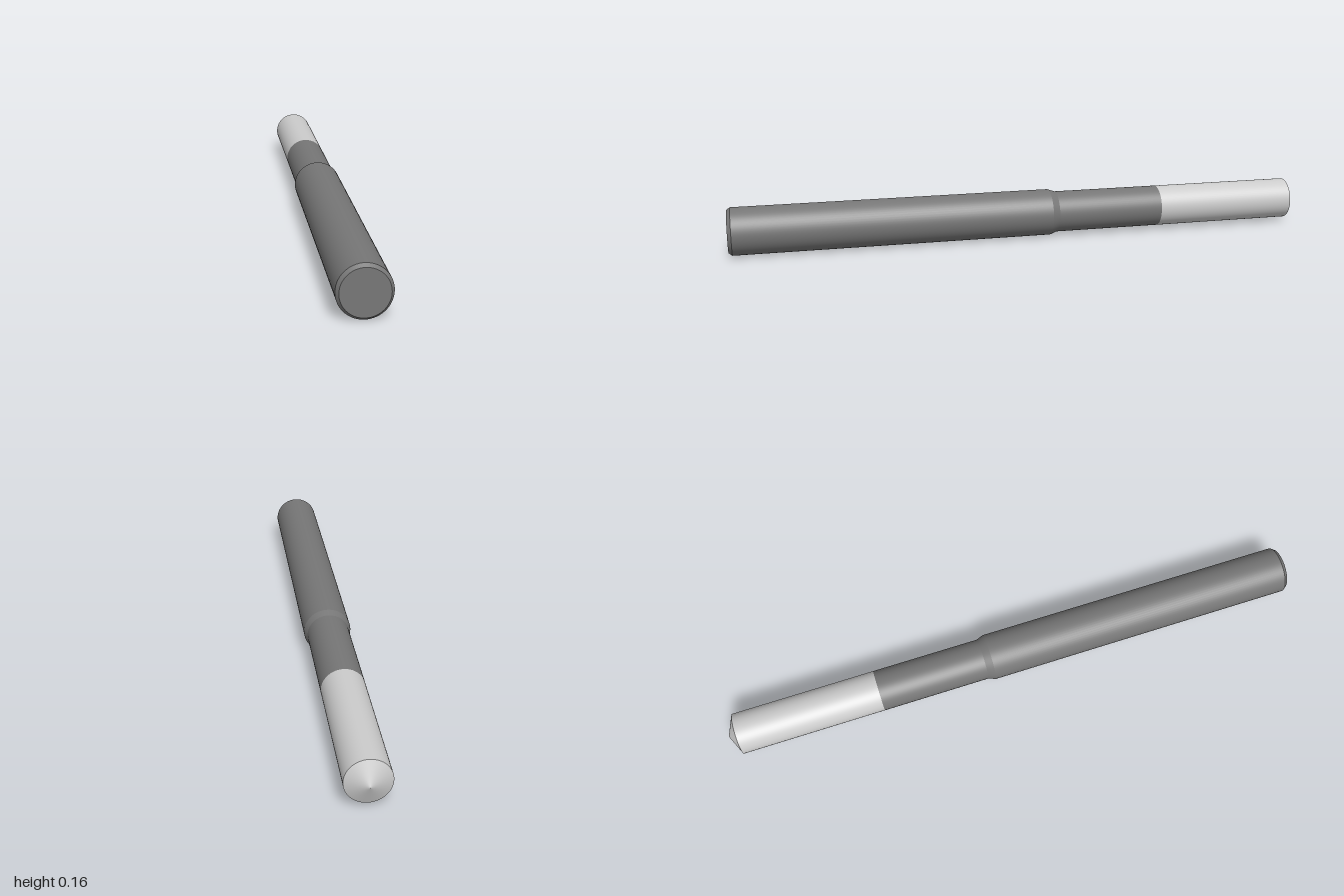
import * as THREE from 'three';
import { mergeGeometries } from 'three/addons/utils/BufferGeometryUtils.js';

const AXIS_HEIGHT = 0.079;

// Turns a profile of [radius, z] points (z rising) round the z axis.
// Each step of the profile is its own band, so edges between bands stay sharp.
function turned(name, profile, color) {
  const bands = [];
  for (let i = 0; i < profile.length - 1; i++) {
    const pair = [profile[i], profile[i + 1]].map(([r, z]) => new THREE.Vector2(r, z));
    bands.push(new THREE.LatheGeometry(pair, 64));
  }
  const geometry = mergeGeometries(bands);
  geometry.rotateX(Math.PI / 2);
  geometry.translate(0, AXIS_HEIGHT, 0);
  const mesh = new THREE.Mesh(geometry, new THREE.MeshStandardMaterial({ color }));
  mesh.name = name;
  return mesh;
}

export function createModel() {
  const group = new THREE.Group();
  group.name = 'drillBit';
  const dark = 0x767676;

  // Bright cutting end with its conical point
  group.add(turned('cuttingEnd', [[0, -1], [0.07, -0.968], [0.07, -0.475]], 0xcccccc));

  // Plain neck
  group.add(turned('neck', [[0.07, -0.475], [0.07, -0.105]], dark));

  // Thicker shank: tapered shoulder, body, chamfer and flat end
  group.add(turned('shank', [
    [0.07, -0.105], [0.079, -0.08], [0.079, 0.988], [0.07, 1], [0, 1],
  ], dark));

  return group;
}
